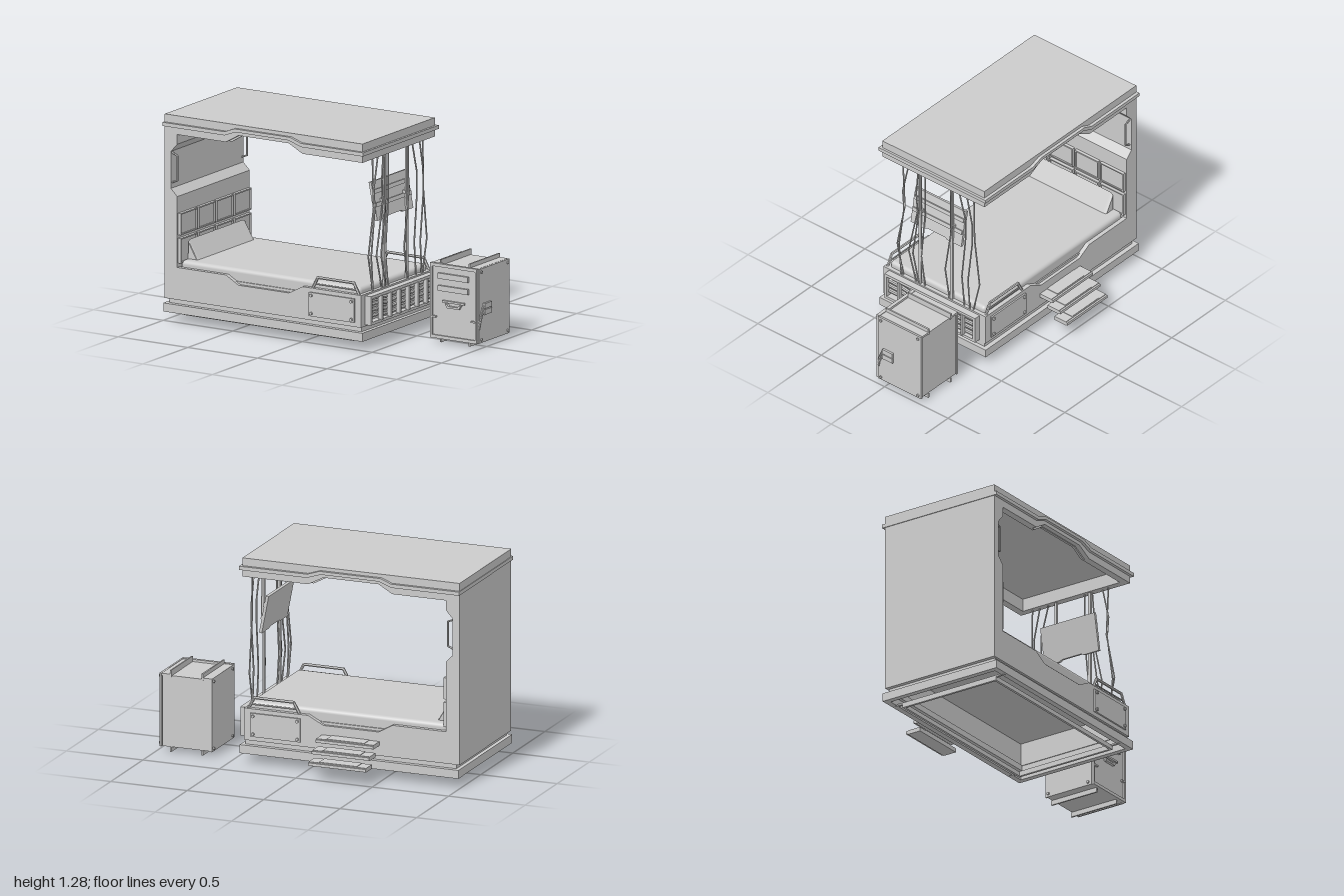
import * as THREE from 'three';
import { RoundedBoxGeometry } from 'three/addons/geometries/RoundedBoxGeometry.js';

const FRONT = 0.499, BACK = -0.306, MID = (FRONT + BACK) / 2;

export function createModel() {
  const root = new THREE.Group();
  const mat = new THREE.MeshStandardMaterial({ color: 0xcccccc, flatShading: true });
  const smooth = new THREE.MeshStandardMaterial({ color: 0xcccccc });

  const group = (name, y = -0.004) => {
    const g = new THREE.Group();
    g.name = name;
    g.position.y = y;
    root.add(g);
    return g;
  };
  const add = (parent, name, geo, m = mat) => {
    const mesh = new THREE.Mesh(geo, m);
    mesh.name = name;
    parent.add(mesh);
    return mesh;
  };
  // box given by its limits
  const box = (p, name, x0, x1, y0, y1, z0, z1) => {
    const mesh = add(p, name, new THREE.BoxGeometry(x1 - x0, y1 - y0, z1 - z0));
    mesh.position.set((x0 + x1) / 2, (y0 + y1) / 2, (z0 + z1) / 2);
    return mesh;
  };
  const poly = (pts) => new THREE.Shape(pts.map(([x, y]) => new THREE.Vector2(x, y)));
  // outline in x, y extruded from z0 to z1
  const extrude = (p, name, pts, z0, z1) =>
    add(p, name, new THREE.ExtrudeGeometry(poly(pts), { depth: z1 - z0, bevelEnabled: false }).translate(0, 0, z0));
  const rect = (a0, a1, b0, b1) => [[a0, b0], [a1, b0], [a1, b1], [a0, b1]];
  const ringGeo = (a0, a1, b0, b1, t, depth) => {
    const s = poly(rect(a0, a1, b0, b1));
    s.holes.push(poly(rect(a0 + t, a1 - t, b0 + t, b1 - t)));
    return new THREE.ExtrudeGeometry(s, { depth, bevelEnabled: false });
  };
  // rectangular rim lying flat
  const flatRing = (p, name, x0, x1, y0, y1, z0, z1, t) =>
    add(p, name, ringGeo(x0, x1, -z1, -z0, t, y1 - y0).rotateX(-Math.PI / 2).translate(0, y0, 0));
  // rectangular rim facing +x
  const sideRing = (p, name, x0, x1, y0, y1, z0, z1, t) =>
    add(p, name, ringGeo(-z1, -z0, y0, y1, t, x1 - x0).rotateY(Math.PI / 2).translate(x0, 0, 0));
  // jointed rod through points
  const rod = (p, name, pts, r, sides = 6) => {
    const v = pts.map((q) => new THREE.Vector3(...q));
    for (let i = 0; i + 1 < v.length; i++) {
      const d = v[i + 1].clone().sub(v[i]);
      const m = add(p, name, new THREE.CylinderGeometry(r, r, d.length() + r * 0.6, sides));
      m.position.copy(v[i]).addScaledVector(d, 0.5);
      m.quaternion.setFromUnitVectors(new THREE.Vector3(0, 1, 0), d.normalize());
    }
  };

  // base: narrow stacked rims around a deep hollow
  const base = group('base');
  flatRing(base, 'footRim', -0.89, 0.33, 0.04, 0.068, -0.25, 0.44, 0.015);
  for (const x of [-0.89, 0.315]) box(base, 'footRimTie', x, x + 0.015, 0.062, 0.072, -0.31, 0.5);
  flatRing(base, 'plinth', -0.99, 0.44, 0.064, 0.117, -0.325, 0.515, 0.035);
  flatRing(base, 'plinthNeck', -0.965, 0.415, 0.112, 0.15, -0.295, 0.485, 0.025);
  box(base, 'bedFloor', -0.92, 0.4, 0.29, 0.31, BACK + 0.02, FRONT - 0.02);
  box(base, 'footEnd', 0.385, 0.42, 0.145, 0.345, BACK, FRONT);
  const rail = [[-0.95, 0.145], [0.42, 0.145], [0.42, 0.345], [0, 0.345], [-0.1, 0.293],
    [-0.46, 0.293], [-0.55, 0.345], [-0.95, 0.345]];
  extrude(base, 'frontRail', rail, FRONT - 0.03, FRONT);
  extrude(base, 'backRail', rail, BACK, BACK + 0.03);

  // head wall with a recessed shelf bay
  const head = group('headWall');
  extrude(head, 'headWallBody', [[-0.99, 0.145], [-0.9, 0.145], [-0.9, 0.785], [-0.945, 0.83], [-0.945, 1.06],
    [-0.9, 1.11], [-0.9, 1.17], [-0.99, 1.17]], BACK, FRONT);
  for (const z of [FRONT - 0.015, BACK + 0.015])
    rod(head, 'wallHandle', [[-0.945, 0.865, z], [-0.908, 0.88, z], [-0.908, 1.035, z], [-0.945, 1.05, z]], 0.006);
  for (let i = 0; i < 4; i++) {
    const z0 = BACK + 0.01 + i * 0.2;
    for (const [y0, y1] of [[0.37, 0.525], [0.545, 0.68]]) {
      box(head, 'headboardPanel', -0.9, -0.888, y0, y1, z0, z0 + 0.185);
      sideRing(head, 'headboardFrame', -0.9, -0.88, y0, y1, z0, z0 + 0.185, 0.008);
    }
  }

  // roof: slab, notched side skirts and a stepped trim
  const roof = group('roof');
  box(roof, 'roofSlab', -0.99, 0.43, 1.25, 1.287, BACK, FRONT);
  box(roof, 'roofFootBeam', 0.385, 0.43, 1.17, 1.25, BACK, FRONT);
  box(roof, 'roofHeadBeam', -0.99, -0.9, 1.17, 1.25, BACK, FRONT);
  const skirt = [[-0.99, 1.17], [-0.55, 1.17], [-0.46, 1.222], [-0.1, 1.222], [0, 1.17],
    [0.43, 1.17], [0.43, 1.25], [-0.99, 1.25]];
  const trim = [[-0.995, 1.215], [-0.55, 1.215], [-0.47, 1.245], [-0.09, 1.245], [0, 1.215], [0.445, 1.215],
    [0.445, 1.238], [0, 1.238], [-0.08, 1.265], [-0.48, 1.265], [-0.55, 1.238], [-0.995, 1.238]];
  const lip = [[-0.55, 1.17], [-0.46, 1.222], [-0.1, 1.222], [0, 1.17], [-0.025, 1.17], [-0.11, 1.216],
    [-0.45, 1.216], [-0.525, 1.17]];
  for (const [z0, z1, t0, t1, l] of [[FRONT - 0.045, FRONT, FRONT, FRONT + 0.018, FRONT - 0.045],
    [BACK, BACK + 0.045, BACK - 0.02, BACK, BACK + 0.03]]) {
    extrude(roof, 'roofSkirt', skirt, z0, z1);
    extrude(roof, 'roofTrim', trim, t0, t1);
    extrude(roof, 'notchLip', lip, l, l + 0.015);
  }
  box(roof, 'roofFootTrim', 0.43, 0.445, 1.215, 1.238, BACK, FRONT);
  box(roof, 'roofHeadTrim', -0.995, -0.99, 1.215, 1.238, BACK, FRONT);

  // bedding
  const bedding = group('bedding');
  add(bedding, 'mattress', new RoundedBoxGeometry(1.29, 0.098, 0.75, 3, 0.025), smooth).position.set(-0.25, 0.336, MID);
  add(bedding, 'pillow', new THREE.ExtrudeGeometry(poly([[-0.875, 0.38], [-0.815, 0.38], [-0.875, 0.485]]),
    { depth: 0.58, bevelThickness: 0.025, bevelSize: 0.012, bevelSegments: 3 }).translate(0, 0, MID - 0.29));

  // bolted side plates and grab rails, front and back
  for (const [edge, s] of [[FRONT, 1], [BACK, -1]]) {
    const plate = group('sidePlate');
    const out = edge + s * 0.01;
    box(plate, 'plate', 0.05, 0.375, 0.172, 0.32, Math.min(edge, out), Math.max(edge, out));
    for (const x of [0.068, 0.357]) for (const y of [0.19, 0.302]) {
      const b = add(plate, 'bolt', new THREE.CylinderGeometry(0.01, 0.01, 0.012, 8).rotateX(Math.PI / 2));
      b.position.set(x, y, out + s * 0.004);
    }
    const z = edge - s * 0.015;
    rod(plate, 'grabRail', [[0.062, 0.34, z], [0.1, 0.412, z], [0.36, 0.412, z], [0.398, 0.34, z]], 0.009);
    rod(plate, 'grabRailLower', [[0.08, 0.37, z], [0.385, 0.37, z]], 0.005);
  }

  // foot grille with wavy slats
  const grille = group('footGrille');
  sideRing(grille, 'grilleFrame', 0.42, 0.463, 0.155, 0.335, -0.26, 0.455, 0.018);
  for (let i = 0; i < 6; i++) {
    const z = -0.16 + i * 0.1;
    box(grille, 'grilleBar', 0.445, 0.473, 0.17, 0.32, z - 0.007, z + 0.007);
  }
  for (let k = 0; k < 4; k++) {
    const y = 0.19 + k * 0.036;
    rod(grille, 'grilleSlat', [[0.435, y + 0.015, 0.44], [0.435, y + 0.012, 0.35], [0.435, y - 0.005, 0.24],
      [0.435, y, 0.14], [0.435, y, -0.25]], 0.013, 8);
  }

  // hanging cables between roof and foot end: [z, y] points
  const cables = group('cables');
  const paths = [
    [[0.355, 1.18], [0.34, 0.86], [0.4, 0.56], [0.35, 0.34]],
    [[0.305, 1.18], [0.35, 0.98], [0.34, 0.85], [0.38, 0.56], [0.36, 0.34]],
    [[0.235, 1.18], [0.25, 1], [0.24, 0.87], [0.31, 0.55], [0.25, 0.34]],
    [[0.22, 1.18], [0.22, 0.9], [0.27, 0.55], [0.22, 0.34]],
    [[0.18, 1.18], [0.18, 0.87], [0.21, 0.55], [0.18, 0.34]],
    [[-0.03, 1.18], [-0.035, 0.87], [0.015, 0.55], [-0.02, 0.34]],
    [[-0.085, 1.18], [-0.14, 0.98], [-0.14, 0.85], [-0.11, 0.55], [-0.13, 0.34]],
    [[-0.155, 1.18], [-0.2, 0.97], [-0.2, 0.85], [-0.165, 0.55], [-0.18, 0.34]],
    [[-0.205, 1.18], [-0.21, 0.87], [-0.25, 0.55], [-0.2, 0.34]],
  ];
  paths.forEach((path, i) => rod(cables, 'cable', path.map(([z, y]) => [0.408 + (i % 2) * 0.008, y, z]), 0.005, 6));
  for (const z of [0.22, -0.03]) box(cables, 'screenPost', 0.4, 0.412, 0.34, 1.18, z - 0.009, z + 0.009);

  // tilted screen at the foot, with a notched lower edge
  const screen = group('screen');
  const panel = extrude(screen, 'screenPanel', [[-0.2, 0.12], [-0.2, -0.12], [-0.09, -0.12], [-0.07, -0.11],
    [0.07, -0.11], [0.09, -0.12], [0.2, -0.12], [0.2, 0.12]], -0.009, 0.009);
  panel.geometry.rotateY(Math.PI / 2).rotateZ(0.19);
  panel.position.set(0.375, 0.882, MID);
  for (const y of [0.86, 0.94]) {
    const rib = add(screen, 'screenRib', new THREE.BoxGeometry(0.012, 0.025, 0.39));
    rib.position.set(0.387 + (0.88 - y) * 0.19, y, MID);
    rib.rotation.z = 0.19;
  }
  for (const z of [0.22, -0.03]) box(screen, 'screenBracket', 0.37, 0.405, 0.87, 0.89, z - 0.012, z + 0.012);

  // three steps behind the bed
  const steps = group('steps', 0);
  [[-0.305, 0.217], [-0.365, 0.161], [-0.42, 0.103]].forEach(([z, y]) => {
    box(steps, 'stepTread', -0.465, -0.09, y - 0.013, y + 0.013, z - 0.09, z);
    box(steps, 'stepLip', -0.465, -0.09, y - 0.009, y + 0.009, z - 0.102, z - 0.09);
    box(steps, 'stepPad', -0.4, -0.155, y + 0.01, y + 0.016, z - 0.085, z);
  });

  // bedside cabinet: thick cheeks beside a lower centre
  const cab = group('cabinet', 0);
  box(cab, 'cabinetBody', 0.655, 0.97, 0.03, 0.478, -0.268, 0.06);
  for (const x of [0.642, 0.974]) {
    box(cab, 'cabinetSide', x, x + 0.012, 0.028, 0.488, -0.275, 0.066);
    const px = x < 0.8 ? 0.64 : 0.988;
    for (const y of [0.047, 0.468]) for (const z of [-0.253, 0.04])
      add(cab, 'cabinetBolt', new THREE.CylinderGeometry(0.009, 0.009, 0.014, 8).rotateZ(Math.PI / 2)).position.set(px, y, z);
  }
  for (const x of [0.65, 0.91]) box(cab, 'cabinetTopStrip', x, x + 0.062, 0.475, 0.488, -0.275, 0.066);
  box(cab, 'cabinetDoor', 0.658, 0.967, 0.045, 0.475, 0.055, 0.07);
  for (const y of [0.037, 0.482]) box(cab, 'cabinetEdge', 0.645, 0.98, y - 0.01, y + 0.01, 0.058, 0.08);
  for (const x of [0.645, 0.966]) box(cab, 'doorStile', x, x + 0.013, 0.037, 0.483, 0.055, 0.08);
  for (const x of [0.707, 0.913]) for (const [y0, y1] of [[0, 0.03], [0.47, 0.513]])
    box(cab, 'runner', x - 0.005, x + 0.005, y0, y1, -0.275, 0.06);
  for (const [y0, y1] of [[0.4, 0.435], [0.325, 0.358]]) box(cab, 'vent', 0.703, 0.918, y0, y1, 0.07, 0.085);
  box(cab, 'handlePlate', 0.735, 0.89, 0.256, 0.268, 0.07, 0.085);
  extrude(cab, 'doorHandle', [[0.755, 0.25], [0.77, 0.225], [0.855, 0.225], [0.87, 0.25], [0.855, 0.25],
    [0.845, 0.237], [0.78, 0.237], [0.77, 0.25]], 0.07, 0.088);
  for (const x of [0.655, 0.938]) box(cab, 'hinge', x, x + 0.032, 0.155, 0.165, 0.068, 0.083);

  // latch and hoses on the cabinet's outer side
  for (const [y0, y1] of [[0.2, 0.232], [0.238, 0.27]]) box(cab, 'latch', 0.985, 1, y0, y1, -0.06, 0.02);
  for (let i = 0; i < 3; i++) {
    const y = 0.215 + i * 0.02;
    rod(cab, 'latchHose', [[0.99, y, 0.018], [0.99, y - 0.01, 0.03], [0.988, y - 0.06, 0.052], [0.985, y - 0.1, 0.06]], 0.005);
  }
  return root;
}
